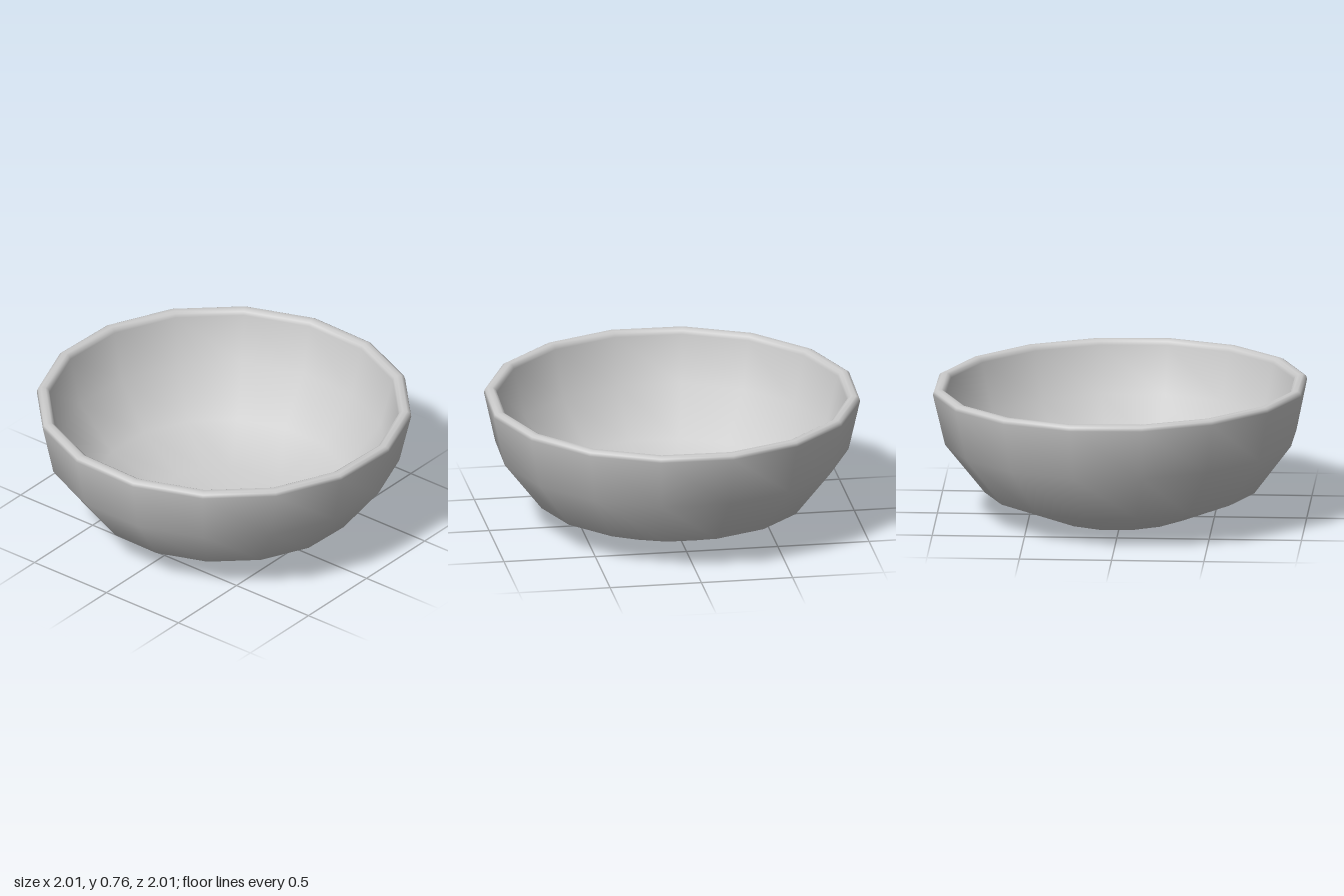
import * as THREE from 'three';

export function createModel() {
  const model = new THREE.Group();

  // Continuous wall profile: outer pole, up to the rim, down to the inner pole
  const profile = [
    [0, 0.003], [0.42, 0.032], [0.745, 0.165], [0.957, 0.44], // outer wall
    [1.019, 0.72], [1.013, 0.739], [0.997, 0.748], // rounded rim
    [0.972, 0.748], [0.956, 0.739], [0.949, 0.72],
    [0.885, 0.46], [0.69, 0.215], [0.385, 0.092], [0, 0.065], // inner wall
  ].map(([r, y]) => new THREE.Vector2(r, y));

  // Sixteen smooth-shaded sides, turned slightly off the axes
  const geometry = new THREE.LatheGeometry(profile, 16, THREE.MathUtils.degToRad(9.95));

  // The outer base ring dips a little towards the two sides
  const pos = geometry.attributes.position;
  for (let i = 1; i < pos.count; i += profile.length) {
    const angle = Math.atan2(pos.getX(i), pos.getZ(i));
    pos.setY(i, pos.getY(i) + 0.008 * Math.cos(2 * angle));
  }

  const bowl = new THREE.Mesh(geometry, new THREE.MeshStandardMaterial({ color: 0xcccccc }));
  bowl.name = 'bowl';
  bowl.rotation.x = -0.0155; // front of the rim sits slightly higher
  model.add(bowl);
  return model;
}
